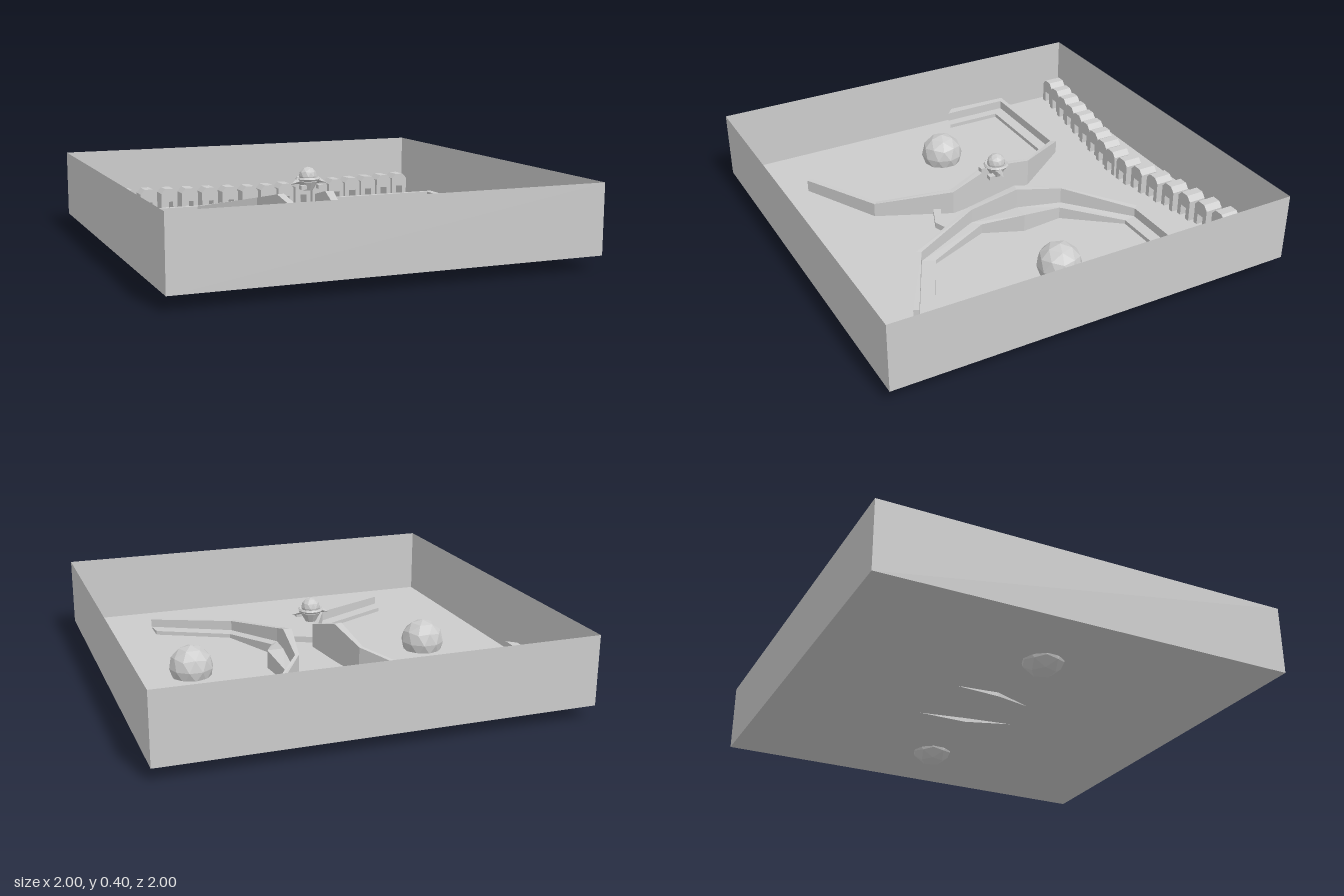
import * as THREE from 'three';

const FLOOR = 0.07;
const mat = new THREE.MeshStandardMaterial({ color: 0xcccccc, flatShading: true, side: THREE.DoubleSide });

function add(parent, name, geometry, x = 0, y = 0, z = 0) {
  const mesh = new THREE.Mesh(geometry, mat);
  mesh.name = name;
  mesh.position.set(x, y, z);
  parent.add(mesh);
  return mesh;
}

// Faceted ball with a vertex at each pole
function facetedBall(r) {
  return new THREE.IcosahedronGeometry(r, 1).rotateX(-1.0172);
}

// Joins equal-sized closed cross-sections and caps both ends
function loft(sections) {
  const n = sections[0].length;
  const pos = sections.flat(2);
  const idx = [];
  for (let i = 0; i < sections.length - 1; i++) {
    for (let j = 0; j < n; j++) {
      const k = (j + 1) % n, a = i * n, b = a + n;
      idx.push(a + j, a + k, b + j, a + k, b + k, b + j);
    }
  }
  const last = (sections.length - 1) * n;
  for (let j = 1; j < n - 1; j++) idx.push(0, j + 1, j, last, last + j, last + j + 1);
  const indexed = new THREE.BufferGeometry();
  indexed.setAttribute('position', new THREE.Float32BufferAttribute(pos, 3));
  indexed.setIndex(idx);
  const g = indexed.toNonIndexed();
  g.computeVertexNormals();
  return g;
}

// Stations along a bank: channel edge x,z; crest x,z; ledge x,z; top, ledge and base heights
const bankStations = [
  [1.0, -0.29, 0.955, -0.25, 0.905, -0.235, 0.135, 0.09, FLOOR],
  [0.99, -0.61, 0.955, -0.585, 0.905, -0.525, 0.135, 0.09, FLOOR],
  [0.38, -0.61, 0.40, -0.585, 0.41, -0.525, 0.135, 0.09, FLOOR],
  [0.15, -0.30, 0.17, -0.30, 0.21, -0.27, 0.21, 0.13, FLOOR],
  [0.11, -0.07, 0.15, -0.06, 0.23, -0.06, 0.26, 0.16, 0.05],
  [0.08, 0.165, 0.11, 0.165, 0.15, 0.13, 0.19, 0.12, FLOOR],
  [0.24, 0.52, 0.255, 0.50, 0.28, 0.44, 0.14, 0.09, FLOOR],
  [0.63, 0.72, 0.64, 0.695, 0.63, 0.615, 0.13, 0.09, FLOOR],
];

function bank(side) {
  return loft(bankStations.map(([ax, az, bx, bz, cx, cz, top, ledge, base]) => [
    [side * ax, base, az],
    [side * ax, top, az],
    [side * bx, top, bz],
    [side * bx, ledge, bz],
    [side * cx, ledge, cz],
    [side * cx, base, cz],
  ]));
}

// Arch outline with chamfered shoulders, extruded front to back
function archGeometry() {
  const pts = [[-0.045, 0], [-0.045, 0.105], [-0.022, 0.13], [0.022, 0.13], [0.045, 0.105],
    [0.045, 0], [0.02, 0], [0.02, 0.06], [-0.02, 0.06], [-0.02, 0]];
  const shape = new THREE.Shape(pts.map(([x, y]) => new THREE.Vector2(x, y)));
  return new THREE.ExtrudeGeometry(shape, { depth: 0.09, bevelEnabled: false }).translate(0, 0, -0.045);
}

export function createModel() {
  const model = new THREE.Group();
  model.name = 'arena';

  // Open tray
  add(model, 'floor', new THREE.PlaneGeometry(2, 2).rotateX(-Math.PI / 2), 0, FLOOR, 0);
  const wall = new THREE.PlaneGeometry(2, 0.33).translate(0, FLOOR + 0.165, 1);
  for (let i = 0; i < 4; i++) add(model, 'wall', wall).rotation.y = i * Math.PI / 2;

  // Boulders and stepped banks, one each side
  for (const side of [-1, 1]) {
    add(model, 'boulder', facetedBall(0.107), side * 0.6, 0.112, -0.03);
    add(model, 'bank', bank(side));
  }

  // Low V-shaped sill across the channel
  const sill = [-1, 0, 1].map((s) => {
    const back = s ? 0.225 : 0.275, front = s ? 0.257 : 0.305;
    return [[s * 0.1, FLOOR, back], [s * 0.1, 0.1, back], [s * 0.12, 0.1, front], [s * 0.12, FLOOR, front]];
  });
  add(model, 'sill', loft(sill));

  // Row of arches stepping towards the middle
  const arches = new THREE.Group();
  arches.name = 'archRow';
  model.add(arches);
  const arch = archGeometry();
  for (let i = 0; i < 18; i++) {
    const k = Math.abs(i - 8.5) - 0.5;
    add(arches, 'arch', arch, (i - 8.5) * 0.109, FLOOR, -0.785 - 0.018 * k);
  }

  // Floating ornament between the banks
  const ornament = new THREE.Group();
  ornament.name = 'ornament';
  ornament.position.set(0, 0.335, -0.03);
  model.add(ornament);
  add(ornament, 'orb', facetedBall(0.045), 0, 0.013, 0);
  add(ornament, 'ring', new THREE.TorusGeometry(0.052, 0.009, 5, 14).rotateX(Math.PI / 2));
  add(ornament, 'cup', new THREE.CylinderGeometry(0.05, 0.025, 0.045, 10), 0, -0.035, 0);
  for (const side of [-1, 1]) {
    const fin = add(ornament, 'fin', new THREE.ConeGeometry(0.018, 0.055, 4), side * 0.07, -0.015, 0.01);
    fin.rotation.z = -side * 1.9;
    add(ornament, 'foot', new THREE.BoxGeometry(0.03, 0.02, 0.03), side * 0.045, -0.035, 0.05);
  }
  return model;
}
